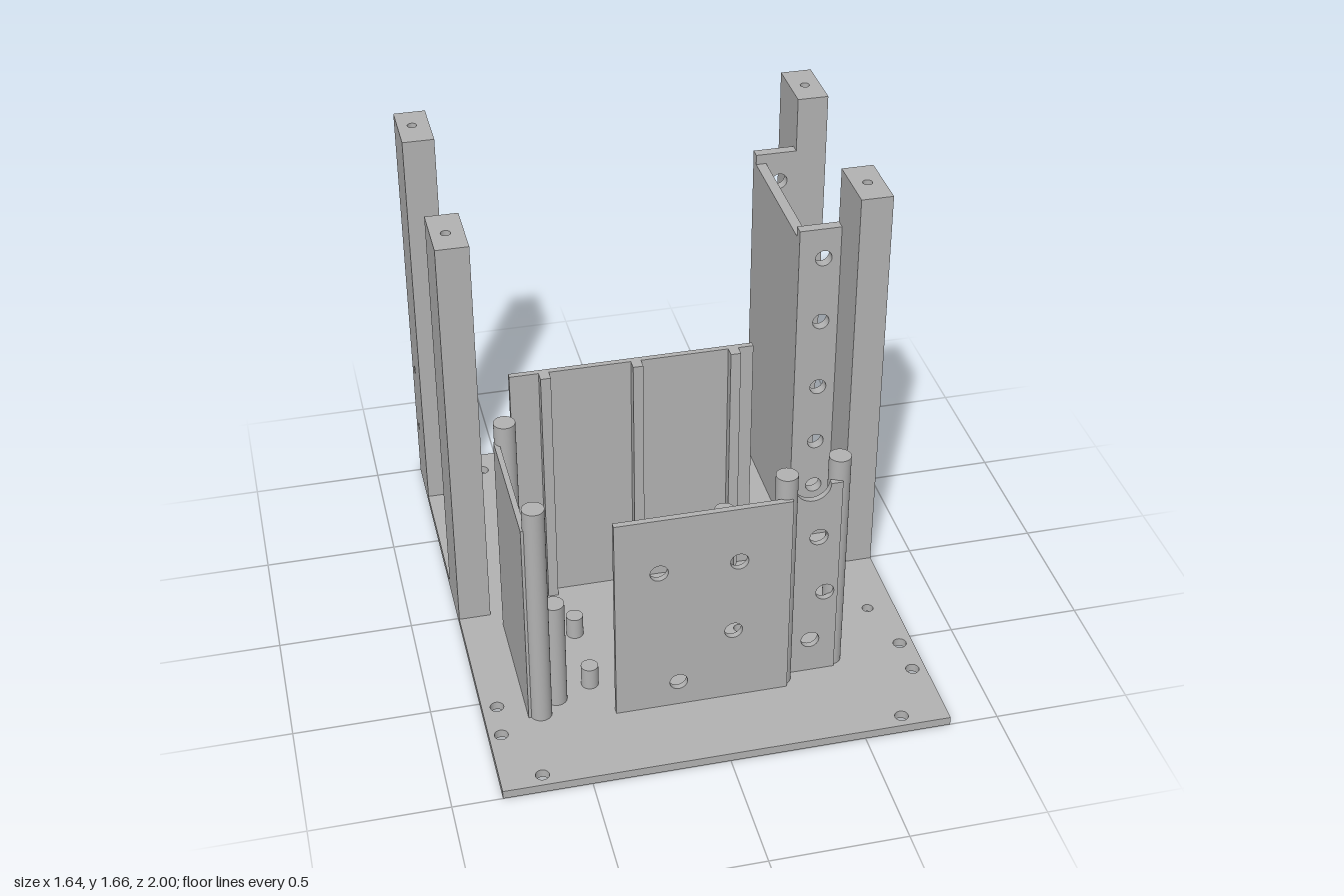
import * as THREE from 'three';

const FLOOR = 0.033; // top of the base plate

export function createModel() {
  const group = new THREE.Group();
  const grey = new THREE.MeshStandardMaterial({ color: 0xb2b2b2 });
  grey.name = 'plain grey';

  const add = (name, geometry, parent = group) => {
    const mesh = new THREE.Mesh(geometry, grey);
    mesh.name = name;
    parent.add(mesh);
    return mesh;
  };

  // Block between ranges x, y, z, drilled along one axis; holes are [u, v, radius]
  // with u, v = (x, y) for axis z, (x, z) for axis y, (z, y) for axis x.
  const slab = (name, x, y, z, axis = 'z', holes = [], parent = group, notch = null) => {
    const flip = ([a, b]) => [-b, -a];
    const u = axis === 'x' ? flip(z) : x;
    const v = axis === 'y' ? flip(z) : y;
    const d = { x, y, z }[axis];
    const shape = new THREE.Shape();
    shape.moveTo(u[0], v[0]);
    shape.lineTo(u[1], v[0]);
    shape.lineTo(u[1], v[1]);
    if (notch) shape.absarc(notch[0], v[1], notch[1], 0, Math.PI, true);
    shape.lineTo(u[0], v[1]);
    shape.closePath();
    for (const [a, b, r] of holes) {
      const hole = new THREE.Path();
      hole.absarc(axis === 'x' ? -a : a, axis === 'y' ? -b : b, r, 0, Math.PI * 2, true);
      shape.holes.push(hole);
    }
    const geo = new THREE.ExtrudeGeometry(shape, { depth: d[1] - d[0], bevelEnabled: false, curveSegments: 16 });
    geo.translate(0, 0, d[0]);
    if (axis === 'x') geo.rotateY(Math.PI / 2);
    if (axis === 'y') geo.rotateX(-Math.PI / 2);
    return add(name, geo, parent);
  };

  // Base plate with mounting holes
  slab('basePlate', [-0.82, 0.82], [0, FLOOR], [-1, 1], 'y', [
    [-0.575, -0.89, 0.025], [0.36, -0.9, 0.025], [-0.575, -0.185, 0.025], [0.36, -0.195, 0.025],
    [0.575, 0.135, 0.021], [0.205, 0.34, 0.021], [0.715, 0.34, 0.021],
    [-0.765, 0.565, 0.025], [0.77, 0.565, 0.025], [-0.775, 0.715, 0.025], [0.77, 0.715, 0.025],
    [-0.67, 0.95, 0.025], [0.65, 0.95, 0.025],
  ]);

  // Four corner posts, each with a screw hole in the top
  const post = (name, x, z, topHole, rear) => {
    const part = new THREE.Group();
    part.name = name;
    group.add(part);
    const low = rear ? 0.15 : FLOOR;
    const sideHoles = rear ? [[-0.925, 0.55, 0.016], [-0.93, 0.27, 0.016]] : [];
    slab('postShaft', x, [low, 1.58], z, 'x', sideHoles, part);
    slab('postTop', x, [1.58, 1.66], z, 'y', [[...topHole, 0.018]], part);
    if (rear) {
      // Foot with a blind hole in its back face
      slab('postFootBack', x, [FLOOR, low], [z[0], z[0] + 0.1], 'z', [[Math.sign(x[0]) * 0.753, 0.08, 0.016]], part);
      slab('postFootFront', x, [FLOOR, low], [z[0] + 0.1, z[1]], 'z', [], part);
    }
  };
  const rightX = [-0.82, -0.7], leftX = [0.7, 0.82], rearZ = [-1, -0.76], midZ = [-0.195, 0.045];
  post('rearRightPost', rightX, rearZ, [-0.765, -0.89], true);
  post('rearLeftPost', leftX, rearZ, [0.76, -0.875], true);
  post('middleRightPost', rightX, midZ, [-0.765, -0.065], false);
  post('middleLeftPost', leftX, midZ, [0.76, -0.075], false);

  // Channel bracket between the left posts
  const bracketHoles = [0.28, 0.49, 0.745, 1.04, 1.315].map((y) => [0.635, y, 0.032]);
  slab('bracketRearFlange', [0.54, 0.7], [FLOOR, 1.44], [-0.8, -0.76], 'z', bracketHoles);
  slab('bracketFrontFlange', [0.54, 0.7], [FLOOR, 1.44], [-0.195, -0.155], 'z', bracketHoles);
  slab('bracketPanel', [0.54, 0.58], [FLOOR, 1.4], [-0.76, -0.195]);

  // Centre panel with three ribs on its front
  slab('centrePanel', [-0.57, 0.345], [FLOOR, 1.04], [-0.075, -0.053]);
  for (const x of [-0.443, -0.1, 0.268]) {
    slab('centrePanelRib', [x - 0.019, x + 0.019], [FLOOR, 1.04], [-0.053, -0.013]);
  }

  // Side panel
  slab('sidePanel', [-0.663, -0.643], [FLOOR, 0.88], [0.11, 0.65]);

  // Front panel with four holes
  slab('frontPanel', [-0.35, 0.29], [FLOOR, 0.88], [0.677, 0.7], 'z',
    [[-0.19, 0.65, 0.033], [0.1, 0.65, 0.033], [0.083, 0.34, 0.033], [-0.118, 0.138, 0.033]]);

  // Narrow panel with a round notch in its top edge
  slab('notchedPanel', [0.29, 0.49], [FLOOR, 0.88], [0.607, 0.63], 'z',
    [[0.41, 0.65, 0.034], [0.442, 0.395, 0.034], [0.394, 0.178, 0.034]], group, [0.382, 0.065]);

  // Round standoffs: [name, top height, radius, positions]
  const standoffs = [
    ['tallColumn', 0.96, 0.04, [[-0.62, 0.11], [-0.615, 0.637], [0.278, 0.647], [0.49, 0.58]]],
    ['mediumColumn', 0.48, 0.039, [[-0.542, 0.18], [-0.545, 0.57], [0.185, 0.175], [0.185, 0.575]]],
    ['shortColumn', 0.12, 0.032, [[-0.407, 0.225], [-0.41, 0.517], [0.038, 0.222], [0.038, 0.517]]],
  ];
  for (const [name, top, r, spots] of standoffs) {
    for (const [x, z] of spots) {
      const h = top - FLOOR;
      add(name, new THREE.CylinderGeometry(r, r, h, 32)).position.set(x, FLOOR + h / 2, z);
    }
  }

  return group;
}
